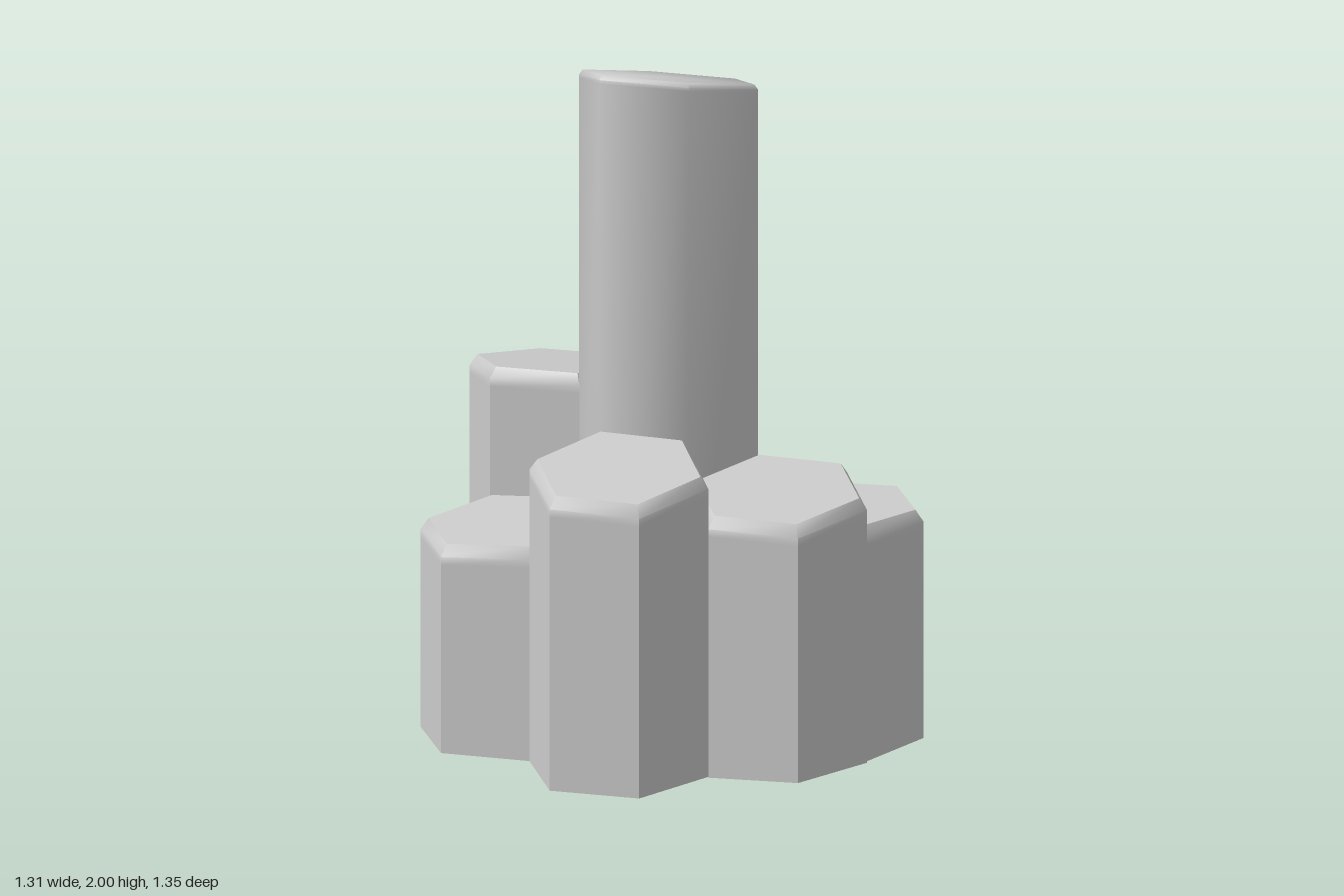
import * as THREE from 'three';
import { toCreasedNormals } from 'three/addons/utils/BufferGeometryUtils.js';

const SIDES = 6;
const RADIUS = 0.26;

// Hollow hexagonal column: slanted bevelled top, slanted open underside.
// top and bottom are [height at the axis, slope along x, slope along z].
function columnGeometry(top, bottom, bevel, crease) {
  const ring = ([h, sx, sz], r, drop) => Array.from({ length: SIDES }, (_, i) => {
    const a = (i / SIDES) * Math.PI * 2;
    const x = r * Math.cos(a), z = r * Math.sin(a);
    return [x, h + sx * x + sz * z - drop, z];
  });
  const rings = [
    ring(bottom, RADIUS, 0),
    ring(top, RADIUS, bevel * 2.4),
    ring(top, RADIUS, bevel * 1.4),
    ring(top, RADIUS - bevel, 0),
  ];
  const high = rings[rings.length - 1];
  const pos = [];
  const tri = (...pts) => pts.forEach((p) => pos.push(...p));

  for (let i = 0; i < SIDES; i++) {
    const j = (i + 1) % SIDES;
    // walls and bevel
    for (let k = 0; k < rings.length - 1; k++) {
      const a = rings[k], b = rings[k + 1];
      tri(a[i], b[i], a[j]);
      tri(b[i], b[j], a[j]);
    }
    // top cap
    tri([0, top[0], 0], high[j], high[i]);
  }
  const geometry = new THREE.BufferGeometry();
  geometry.setAttribute('position', new THREE.Float32BufferAttribute(pos, 3));
  return toCreasedNormals(geometry, crease);
}

export function createModel() {
  const group = new THREE.Group();
  group.name = 'hexagonalColumns';
  const material = new THREE.MeshStandardMaterial({ color: 0xcccccc, side: THREE.DoubleSide });

  const addColumn = (name, x, z, top, bottom, bevel = 0.023, crease = 0.87) => {
    const mesh = new THREE.Mesh(columnGeometry(top, bottom, bevel, crease), material);
    mesh.name = name;
    mesh.position.set(x, 0, z);
    group.add(mesh);
  };

  // tall centre with softly shaded sides
  addColumn('centralTower', -0.005, 0, [1.945, -0.22, 0.13], [0.13, 0, 0], 0.01, 1.12);

  // ring of shorter columns
  addColumn('backColumn', -0.005, -0.45, [1.025, -0.13, 0.085], [0.1, -0.03, -0.04]);
  addColumn('backLeftColumn', 0.38, -0.225, [0.6, -0.077, -0.06], [0.07, 0, -0.02]);
  addColumn('backRightColumn', -0.395, -0.225, [0.69, 0.08, 0.02], [0.07, 0, 0]);
  addColumn('frontRightColumn', -0.395, 0.222, [0.941, 0.135, -0.1], [0.07, 0.04, -0.02]);
  addColumn('frontColumn', -0.005, 0.448, [0.85, 0.117, -0.086], [0.075, 0.025, 0.02]);
  addColumn('frontLeftColumn', 0.391, 0.246, [0.681, 0.03, 0.02], [0.03, 0.115, -0.067]);
  return group;
}
